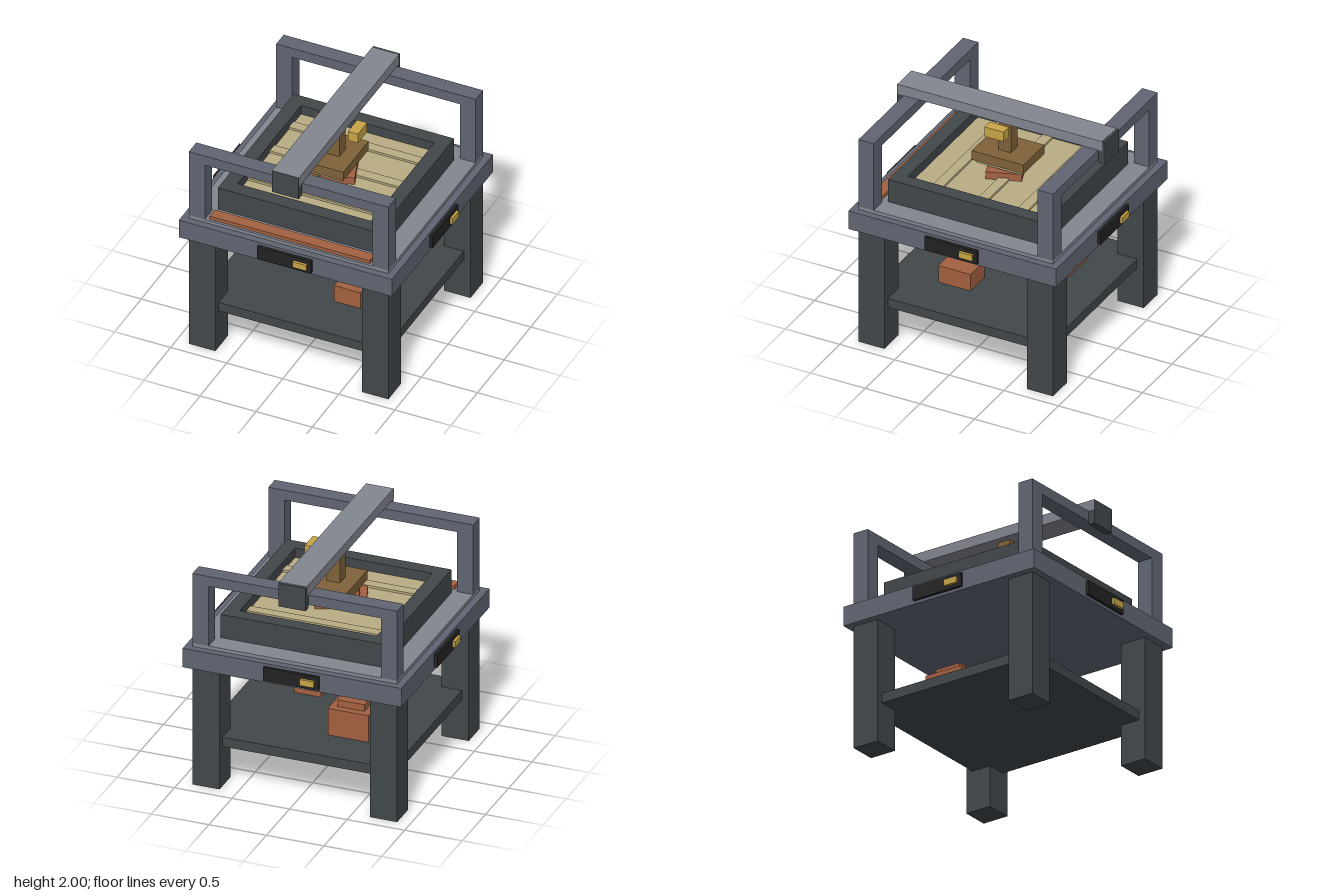
import * as THREE from 'three';

const mat = (name, color) => {
  const m = new THREE.MeshStandardMaterial({ color });
  m.name = name;
  return m;
};

export function createModel() {
  const charcoal = mat('charcoal', 0x41474a);
  const slate = mat('slate', 0x5f6572);
  const steel = mat('pale steel', 0x82868f);
  const brown = mat('brown', 0x7f623a);
  const sand = mat('sand', 0xb9ad84);
  const clay = mat('clay', 0xa36040);
  const brass = mat('brass', 0xc9a548);
  const black = mat('black', 0x222222);

  const model = new THREE.Group();
  model.name = 'pressTable';

  // Box given by its extents along each axis
  const box = (name, material, [x0, x1], [y0, y1], [z0, z1], parent = model) => {
    const mesh = new THREE.Mesh(new THREE.BoxGeometry(x1 - x0, y1 - y0, z1 - z0), material);
    mesh.position.set((x0 + x1) / 2, (y0 + y1) / 2, (z0 + z1) / 2);
    mesh.name = name;
    parent.add(mesh);
    return mesh;
  };
  const sym = (h) => [-h, h];
  const side = (s, a, b) => (s > 0 ? [a, b] : [-b, -a]);

  // Table: legs, shelf, top and raised work surface
  for (const sx of [-1, 1]) {
    for (const sz of [-1, 1]) {
      box('leg', charcoal, side(sx, 0.653, 0.89), [0, 1.08], side(sz, 0.653, 0.89));
    }
  }
  box('shelf', charcoal, sym(0.83), [0.36, 0.445], sym(0.83));
  box('tableTop', slate, sym(0.95), [1.08, 1.25], sym(0.95));
  box('workSurface', steel, sym(0.89), [1.25, 1.28], sym(0.89));

  // Clay blocks stored on the shelf
  box('shelfBlockBase', clay, [-0.475, -0.12], [0.445, 0.685], [-0.475, -0.12]);
  box('shelfBlockTop', clay, [-0.415, -0.18], [0.685, 0.745], [-0.415, -0.18]);
  box('smallShelfBlock', clay, [0.18, 0.415], [0.445, 0.6], [0.12, 0.415]);

  // Nameplate with an offset brass latch on each of the four sides
  for (let k = 0; k < 4; k++) {
    const plate = new THREE.Group();
    plate.name = 'sidePlate';
    plate.rotation.y = (k * Math.PI) / 2;
    box('plate', black, sym(0.24), [1.105, 1.225], [0.95, 0.977], plate);
    box('latch', brass, [0.085, 0.207], [1.135, 1.19], [0.977, 1.0], plate);
    model.add(plate);
  }

  // Tray: four walls, floor and raised cross ribs
  for (const s of [-1, 1]) {
    box('trayWall', charcoal, sym(0.715), [1.28, 1.49], side(s, 0.595, 0.715));
    box('trayWall', charcoal, side(s, 0.595, 0.715), [1.28, 1.49], sym(0.595));
  }
  box('trayFloor', sand, sym(0.595), [1.28, 1.405], sym(0.595));
  for (const z of [-0.41, -0.05, 0.365]) {
    box('trayRib', sand, sym(0.595), [1.405, 1.425], [z - 0.044, z + 0.044]);
  }
  box('frontStrip', clay, sym(0.715), [1.28, 1.31], [0.77, 0.87]);

  // Turned clay work piece beneath the press
  const piece = new THREE.Group();
  piece.name = 'workPiece';
  piece.position.set(-0.035, 0, 0.025);
  piece.rotation.y = 0.35;
  box('pieceBase', clay, sym(0.21), [1.405, 1.47], sym(0.148), piece);
  box('pieceTop', clay, sym(0.15), [1.47, 1.52], sym(0.045), piece);
  model.add(piece);

  // Press head
  box('pressPad', sand, sym(0.148), [1.49, 1.525], sym(0.207));
  box('pressPlate', brown, sym(0.178), [1.525, 1.61], sym(0.237));
  box('pressColumn', brown, sym(0.058), [1.61, 1.91], sym(0.058));
  box('pressKnob', brass, [0.148, 0.237], [1.82, 1.91], sym(0.088));

  // Front and back portal frames
  for (const sz of [-1, 1]) {
    const z = side(sz, 0.75, 0.89);
    for (const sx of [-1, 1]) {
      box('framePost', slate, side(sx, 0.748, 0.89), [1.28, 1.82], z);
    }
    box('frameRail', slate, sym(0.89), [1.82, 1.91], z);
  }

  // Overhead beam with hanging end caps
  box('beam', steel, sym(0.12), [1.91, 2], [-0.925, 0.947]);
  for (const s of [-1, 1]) {
    box('beamCap', charcoal, sym(0.118), [1.79, 1.998], side(s, 0.89, 0.95));
  }

  return model;
}
